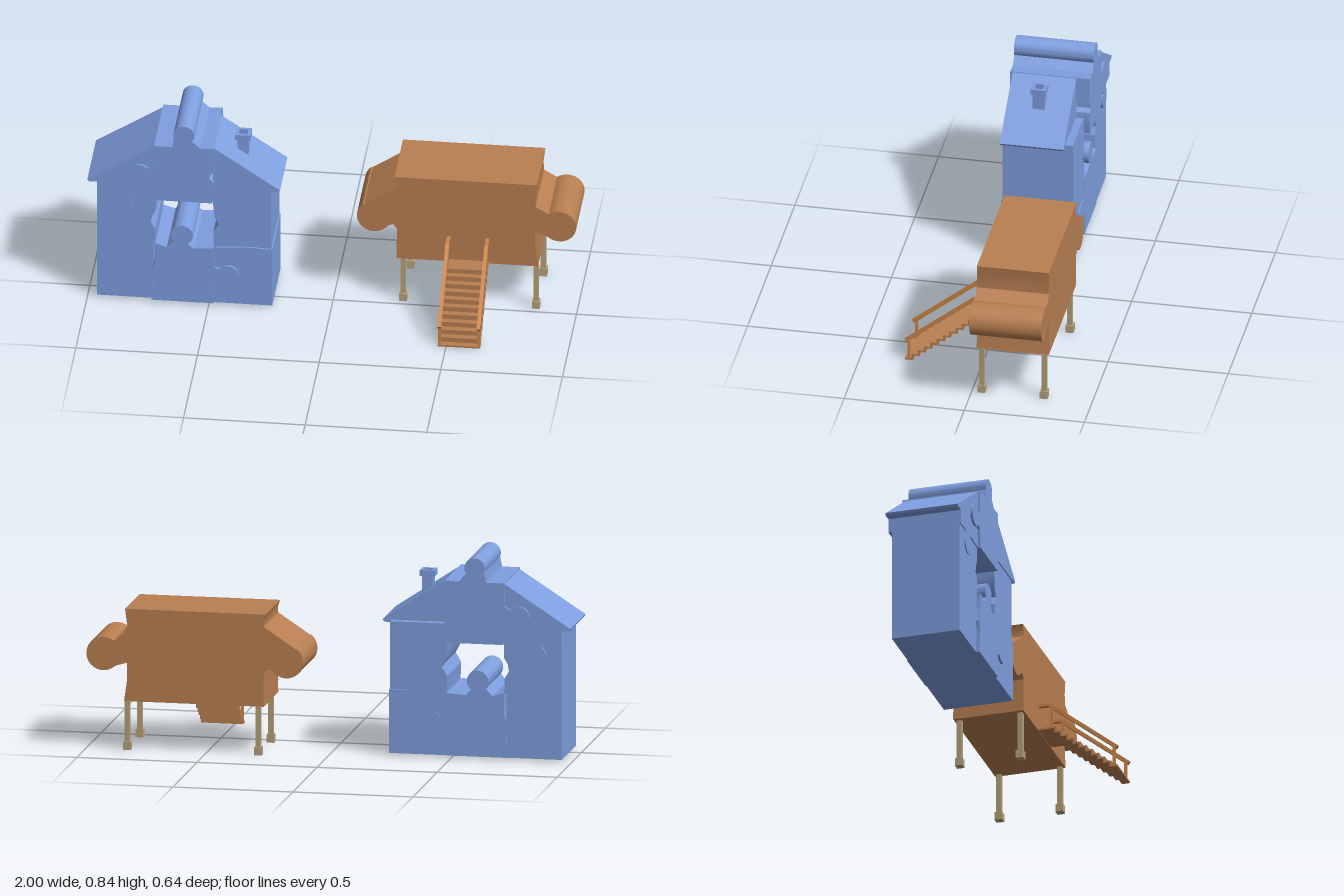
import * as THREE from 'three';
import { toCreasedNormals } from 'three/addons/utils/BufferGeometryUtils.js';

const material = (color) => new THREE.MeshStandardMaterial({ color });
const blue = material(0x7f9fe0), brown = material(0xb97f52), tan = material(0xb8a27a), orange = material(0xcf8748);

// Points of a round jigsaw tab pointing in a direction (degrees), counter-clockwise
function tab(cx, cy, r, direction, open = 40) {
  const points = [];
  for (let i = 0; i <= 24; i++) {
    const a = THREE.MathUtils.degToRad(direction - 180 + open + (i / 24) * (360 - 2 * open));
    points.push([cx + r * Math.cos(a), cy + r * Math.sin(a)]);
  }
  return points;
}

// Prism with a given front outline, running between two depths
function prism(name, points, back, front, mat) {
  const shape = new THREE.Shape(points.map(([x, y]) => new THREE.Vector2(x, y)));
  const extruded = new THREE.ExtrudeGeometry(shape, { depth: front - back, bevelEnabled: false });
  extruded.translate(0, 0, back);
  const mesh = new THREE.Mesh(toCreasedNormals(extruded, 0.45), mat);
  mesh.name = name;
  return mesh;
}

function box(name, w, h, d, x, y, z, mat) {
  const mesh = new THREE.Mesh(new THREE.BoxGeometry(w, h, d), mat);
  mesh.position.set(x, y, z);
  mesh.name = name;
  return mesh;
}

function puzzleHouse() {
  const g = new THREE.Group();
  g.name = 'puzzleHouse';
  const add = (name, points, back, front) => g.add(prism(name, points, back, front, blue));

  // Bottom row
  add('lowerRightBlock', [[-0.96, 0.01], [-0.73, 0.01], [-0.73, 0.28], [-0.81, 0.272], [-0.87, 0.28], [-0.96, 0.27]], -0.205, 0.085);
  add('lowerMiddleBlock', [
    [-0.735, 0.01], [-0.48, 0.01], [-0.48, 0.115], ...tab(-0.42, 0.145, 0.045, 0), [-0.475, 0.18], [-0.485, 0.27],
    [-0.56, 0.265], ...tab(-0.61, 0.324, 0.045, 80), [-0.672, 0.265], [-0.72, 0.28], [-0.72, 0.19],
    [-0.735, 0.15], [-0.725, 0.09],
  ], -0.209, 0.1);
  add('lowerLeftBlock', [[-0.48, 0.01], [-0.24, 0.01], [-0.24, 0.275], [-0.35, 0.28], [-0.485, 0.27]], -0.205, 0.09);

  // Walls beside the opening
  add('middleRightBlock', [
    [-0.96, 0.27], [-0.87, 0.28], [-0.81, 0.272], [-0.72, 0.28], [-0.722, 0.34], [-0.74, 0.37],
    [-0.735, 0.4], [-0.72, 0.425], [-0.72, 0.5], [-0.96, 0.5],
  ], -0.205, 0.085);
  add('middleLeftBlock', [
    [-0.48, 0.27], [-0.35, 0.281], [-0.245, 0.276], [-0.245, 0.56], [-0.48, 0.56], [-0.485, 0.485],
    [-0.478, 0.415], [-0.46, 0.38], [-0.483, 0.34],
  ], -0.207, 0.085);

  // Roof pieces
  add('roofRight', [
    [-0.96, 0.55], [-0.96, 0.49], [-0.88, 0.492], ...tab(-0.855, 0.442, 0.042, -90), [-0.825, 0.49],
    [-0.72, 0.485], [-0.72, 0.74], [-1.0, 0.56], [-0.995, 0.55],
  ], -0.22, 0.09);
  add('roofMiddle', [
    [-0.72, 0.485], [-0.485, 0.485], [-0.475, 0.55], [-0.48, 0.585], [-0.497, 0.6], [-0.497, 0.62], [-0.475, 0.632],
    [-0.48, 0.745], [-0.535, 0.742], ...tab(-0.602, 0.799, 0.043, 82, 60), [-0.65, 0.742], [-0.725, 0.742],
    [-0.727, 0.645], ...tab(-0.785, 0.602, 0.045, 180), [-0.73, 0.565],
  ], -0.232, 0.1);
  add('roofLeft', [
    [-0.485, 0.55], [-0.24, 0.55], [-0.215, 0.55], [-0.208, 0.56], [-0.48, 0.742],
  ], -0.175, 0.09);

  // Chimney: solid stem, open cap
  g.add(box('chimneyStem', 0.044, 0.12, 0.05, -0.373, 0.667, -0.043, blue));
  const cap = new THREE.Shape([[-1, -1], [1, -1], [1, 1], [-1, 1]].map(([x, y]) => new THREE.Vector2(x * 0.031, y * 0.031)));
  cap.holes.push(new THREE.Path([[-1, -1], [-1, 1], [1, 1], [1, -1]].map(([x, y]) => new THREE.Vector2(x * 0.018, y * 0.018))));
  const capMesh = new THREE.Mesh(new THREE.ExtrudeGeometry(cap, { depth: 0.025, bevelEnabled: false }), blue);
  capMesh.rotation.x = -Math.PI / 2;
  capMesh.position.set(-0.373, 0.725, -0.043);
  capMesh.name = 'chimneyCap';
  g.add(capMesh);
  return g;
}

function stiltHouse() {
  const g = new THREE.Group();
  g.name = 'stiltHouse';

  // One large jigsaw-shaped body
  g.add(prism('stiltHouseBody', [
    [0.258, 0.205], [0.84, 0.205], [0.828, 0.29], [0.828, 0.365], [0.87, 0.353],
    ...tab(0.927, 0.4, 0.07, -2, 50), [0.83, 0.487], [0.828, 0.53], [0.836, 0.59],
    [0.25, 0.59], [0.26, 0.56], [0.258, 0.538], [0.125, 0.45],
    ...tab(0.165, 0.397, 0.07, 225, 85), [0.225, 0.358], [0.245, 0.365], [0.26, 0.345],
  ], -0.32, -0.02, brown));

  // Legs with square feet
  for (const x of [0.284, 0.83]) for (const z of [-0.04, -0.3]) {
    g.add(box('leg', 0.021, 0.175, 0.021, x, 0.12, z, tan));
    g.add(box('foot', 0.032, 0.034, 0.032, x, 0.017, z, tan));
  }
  return g;
}

function staircase() {
  const g = new THREE.Group();
  g.name = 'staircase';
  const steps = 10, run = 0.0262, rise = 0.0207, t = 0.008;

  // Folded strip of treads and risers; profile is (z, y)
  const upper = [[-0.02, 0.215], [0.055, 0.215]], lower = [[-0.02, 0.215 - t], [0.055 - t, 0.215 - t]];
  for (let i = 1; i <= steps; i++) {
    const y = 0.215 - i * rise, z = 0.055 + i * run;
    upper.push([z - run, y], [z, y]);
    lower.push([z - run - t, y - t], [z - t, y - t]);
  }
  lower[lower.length - 1][0] += t;
  const strip = prism('treads', [...lower, ...upper.reverse()], -0.0875, 0.0875, brown);
  strip.rotation.y = -Math.PI / 2;
  strip.scale.z = 1;
  strip.position.x = 0.5525;
  g.add(strip);

  // Handrails and posts on both sides
  for (const x of [0.473, 0.633]) {
    const rise2 = 0.23, run2 = 0.29;
    const rail = box('handrail', 0.015, 0.015, Math.hypot(rise2, run2), x, 0.202, 0.17, orange);
    rail.rotation.x = Math.atan2(rise2, run2);
    g.add(rail);
    g.add(box('upperHandrail', 0.015, 0.012, 0.045, x, 0.317, 0.003, orange));
    g.add(box('lowerPost', 0.012, 0.09, 0.012, x, 0.05, 0.302, orange));
    g.add(box('upperPost', 0.012, 0.1, 0.012, x, 0.258, 0.035, orange));
  }
  return g;
}

export function createModel() {
  const model = new THREE.Group();
  model.name = 'twoPuzzleHouses';
  model.add(puzzleHouse(), stiltHouse(), staircase());
  return model;
}
